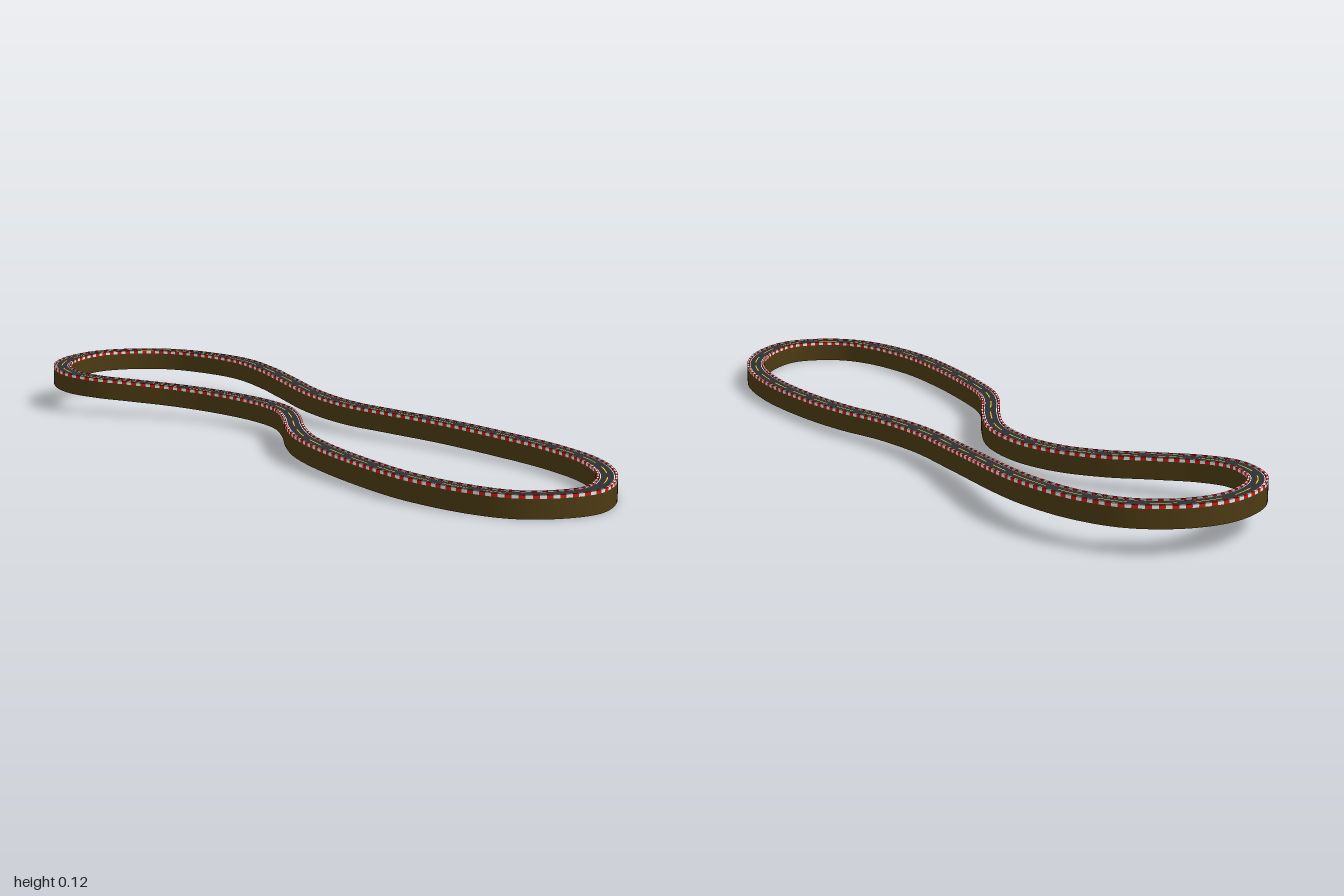
import * as THREE from 'three';

// Centre line of the circuit: x, height of the kerb top, z (clockwise from above)
const PATH = [
  [-0.63, 0.110, -0.26], [-0.5, 0.102, -0.247], [-0.385, 0.092, -0.223], [-0.235, 0.079, -0.191],
  [-0.065, 0.073, -0.172], [0.085, 0.071, -0.184], [0.245, 0.066, -0.212], [0.43, 0.061, -0.223],
  [0.62, 0.058, -0.214], [0.77, 0.056, -0.178], [0.87, 0.054, -0.12], [0.943, 0.053, -0.04],
  [0.977, 0.053, 0.045], [0.955, 0.053, 0.13], [0.905, 0.053, 0.193], [0.82, 0.054, 0.234],
  [0.645, 0.056, 0.258], [0.46, 0.059, 0.243], [0.27, 0.063, 0.207], [0.165, 0.067, 0.175],
  [0.08, 0.071, 0.13], [-0.025, 0.073, 0.057], [-0.13, 0.073, 0.002], [-0.255, 0.074, -0.016],
  [-0.38, 0.078, 0.003], [-0.495, 0.085, 0.052], [-0.6, 0.093, 0.124], [-0.69, 0.099, 0.184],
  [-0.775, 0.104, 0.21], [-0.88, 0.109, 0.18], [-0.945, 0.113, 0.11], [-0.977, 0.116, 0],
  [-0.95, 0.116, -0.105], [-0.88, 0.115, -0.19], [-0.77, 0.113, -0.24],
];
const STEPS = 340;      // one kerb block per step
const HALF = 0.0232;    // half of the full width
const KERB = 0.0178;    // inner edge of the kerb
const ROAD = -0.003;    // road surface below the kerb top
const LIP = -0.008;     // underside of the kerb
const DEPTH = -0.053;   // underside of the base

const mat = (name, color, side = THREE.FrontSide) => {
  const m = new THREE.MeshStandardMaterial({ color, side });
  m.name = name;
  return m;
};

export function createModel() {
  const group = new THREE.Group();
  group.name = 'raceCircuit';

  const earth = mat('earth brown', 0x4c3a13);
  const asphalt = mat('asphalt grey', 0x2f3033);
  const red = mat('kerb red', 0xcc1a10);
  const white = mat('kerb white', 0xeeeeee);
  const yellow = mat('line yellow', 0xe6c81e);

  const curve = new THREE.CatmullRomCurve3(PATH.map(p => new THREE.Vector3(...p)), true);
  curve.arcLengthDivisions = 2000;

  // Position and outward direction at every step
  const frames = [];
  for (let i = 0; i <= STEPS; i++) {
    const u = (i % STEPS) / STEPS;
    const t = curve.getTangentAt(u);
    frames.push({ p: curve.getPointAt(u), side: new THREE.Vector3(t.z, 0, -t.x).normalize() });
  }
  const at = (f, [u, v]) => [f.p.x + f.side.x * u, f.p.y + v, f.p.z + f.side.z * u];

  // Sweep a cross-section (outward offset, height) along the steps that pass the test
  function sweep(name, section, material, test = () => true) {
    const pos = [], nor = [];
    for (let i = 0; i < STEPS; i++) {
      if (!test(i)) continue;
      const f = frames[i], g = frames[i + 1];
      for (let k = 0; k < section.length - 1; k++) {
        const a = section[k], b = section[k + 1];
        const len = Math.hypot(b[0] - a[0], b[1] - a[1]);
        const nu = -(b[1] - a[1]) / len, nv = (b[0] - a[0]) / len;
        for (const [fr, pt] of [[f, a], [g, a], [f, b], [f, b], [g, a], [g, b]]) {
          pos.push(...at(fr, pt));
          nor.push(fr.side.x * nu, nv, fr.side.z * nu);
        }
      }
    }
    const geo = new THREE.BufferGeometry();
    geo.setAttribute('position', new THREE.Float32BufferAttribute(pos, 3));
    geo.setAttribute('normal', new THREE.Float32BufferAttribute(nor, 3));
    const mesh = new THREE.Mesh(geo, material);
    mesh.name = name;
    group.add(mesh);
  }

  // Earth base: outer wall, underside, inner wall
  sweep('base', [[HALF, LIP], [HALF, DEPTH], [-HALF, DEPTH], [-HALF, LIP]], earth);

  // Road surface
  sweep('road', [[-KERB, ROAD], [KERB, ROAD]], asphalt);

  // Kerbs in alternating blocks, and edge lines, on both sides
  for (const [label, s] of [['outer', 1], ['inner', -1]]) {
    const kerb = [[KERB, ROAD], [KERB, 0], [HALF, 0], [HALF, LIP]].map(([u, v]) => [u * s, v]);
    const line = [[0.0145, ROAD + 0.0006], [0.0163, ROAD + 0.0006]].map(([u, v]) => [u * s, v]);
    if (s < 0) { kerb.reverse(); line.reverse(); }
    sweep(label + 'KerbRed', kerb, red, i => i % 2 === 0);
    sweep(label + 'KerbWhite', kerb, white, i => i % 2 === 1);
    sweep(label + 'EdgeLine', line, white);
  }

  // Dashed centre line
  sweep('centreLine', [[-0.0014, ROAD + 0.0006], [0.0014, ROAD + 0.0006]], yellow, i => i % 8 < 5);

  return group;
}
